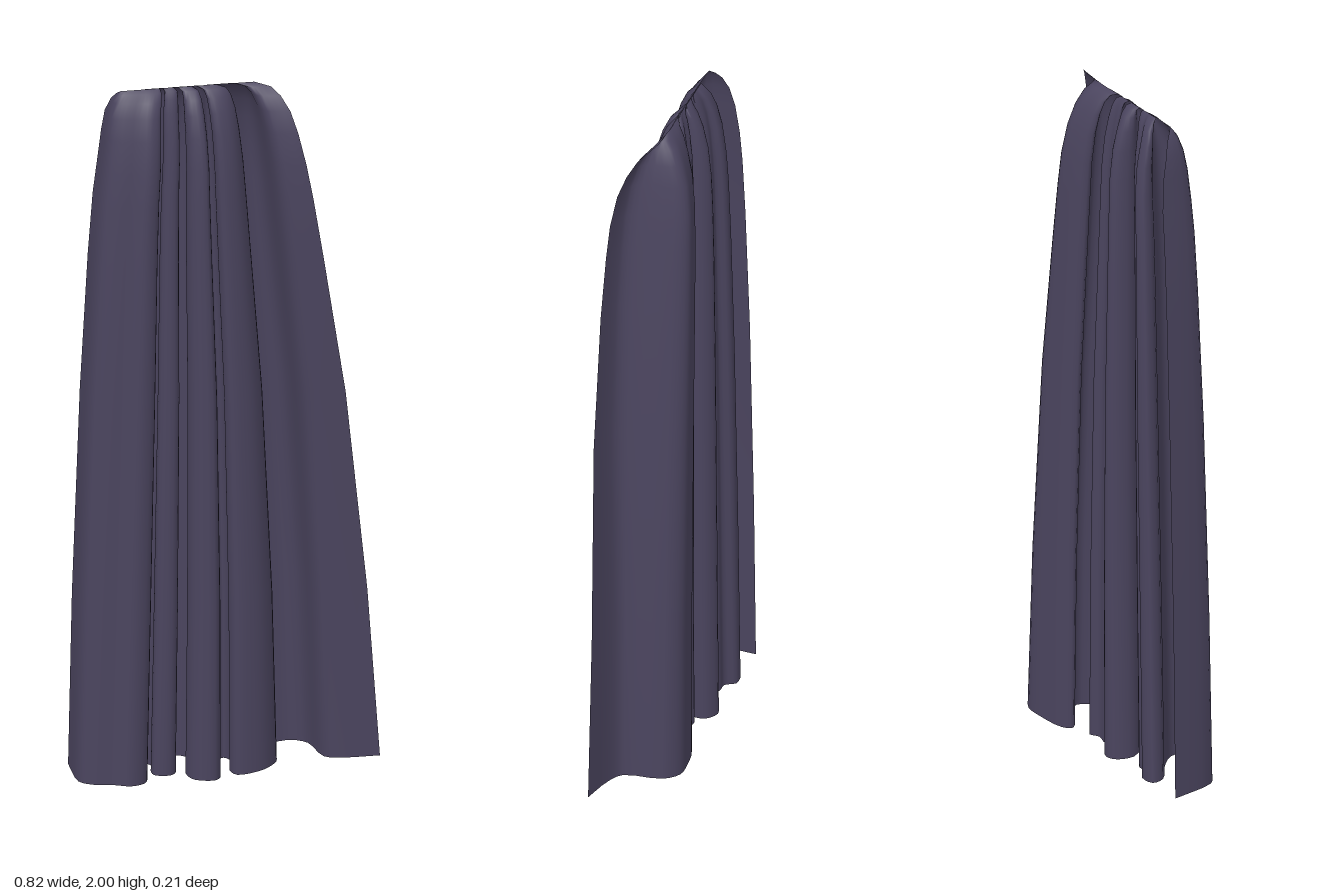
import * as THREE from 'three';

// Hem line of the folded cloth as [x, z], from its right edge to its left edge
const HEM = [
  [-0.415, -0.085], [-0.41, 0.04], [-0.375, 0.07], [-0.32, 0.083], [-0.275, 0.1], [-0.235, 0.085],
  [-0.225, 0.05], [-0.26, 0], [-0.31, -0.045], [-0.31, -0.08], [-0.27, -0.085], [-0.25, -0.057],
  [-0.22, -0.055], [-0.195, -0.03], [-0.205, 0.005], [-0.2, 0.035], [-0.16, 0.045], [-0.14, 0.025],
  [-0.165, -0.03], [-0.15, -0.075], [-0.12, -0.09], [-0.085, -0.065], [-0.085, -0.02],
  [-0.115, 0.035], [-0.1, 0.085], [-0.045, 0.1], [-0.025, 0.07], [-0.045, 0.01],
  [-0.06, -0.045], [-0.02, -0.037], [0.005, -0.05], [0.02, -0.02], [0.005, 0.04],
  [0.02, 0.077], [0.07, 0.075], [0.11, 0.055], [0.14, 0.01], [0.1, -0.03],
  [0.055, -0.065], [0.075, -0.09], [0.15, -0.105], [0.2, -0.105], [0.24, -0.07],
  [0.265, 0.035], [0.31, 0.06], [0.41, 0.08],
];

// Height, right edge x, left edge x and fold depth, from the hem to the gathered top
const ROWS = [
  [0, -0.415, 0.41, 1], [0.5, -0.405, 0.375, 0.98], [1.1, -0.384, 0.312, 0.94], [1.5, -0.363, 0.252, 0.88],
  [1.68, -0.35, 0.224, 0.84], [1.78, -0.338, 0.206, 0.8], [1.87, -0.329, 0.186, 0.69],
  [1.93, -0.322, 0.168, 0.52], [1.97, -0.308, 0.145, 0.34], [1.99, -0.296, 0.122, 0.15],
  [2, -0.285, 0.08, 0.01],
];

// A flat grid whose vertices follow the hem line, narrowed and flattened row by row
function drape(columns) {
  const { lerp, smoothstep } = THREE.MathUtils;
  const hem = new THREE.CatmullRomCurve3(HEM.map(([x, z]) => new THREE.Vector3(x, 0, z)), false, 'centripetal');
  const geometry = new THREE.PlaneGeometry(1, 1, columns, ROWS.length - 1);
  const position = geometry.attributes.position;
  for (let i = 0; i < position.count; i++) {
    const column = i % (columns + 1);
    const row = ROWS.length - 1 - Math.floor(i / (columns + 1));
    const [height, right, left, depth] = ROWS[row];
    const p = hem.getPoint(column / columns);
    // pleats drift slightly to the left as they rise
    const across = Math.pow(Math.max(0, (p.x + 0.415) / 0.825), 1 - 0.075 * height);
    // the loose left edge swings forward towards the top
    const swing = 0.04 * smoothstep(p.x, 0.22, 0.3) * smoothstep(height, 0.2, 1.6);
    const lift = 0.005 + 0.03 * Math.max(0, p.x / 0.41);
    position.setXYZ(i, lerp(right, left, across), height + lift * (1 - height / 2), (p.z + swing) * depth);
  }
  geometry.computeVertexNormals();
  return geometry;
}

export function createModel() {
  const group = new THREE.Group();
  group.name = 'curtain';
  const cloth = new THREE.MeshStandardMaterial({ color: 0x4a445e, side: THREE.DoubleSide });
  cloth.name = 'dark violet cloth';
  const panel = new THREE.Mesh(drape((HEM.length - 1) * 3), cloth);
  panel.name = 'pleatedPanel';
  group.add(panel);
  return group;
}
